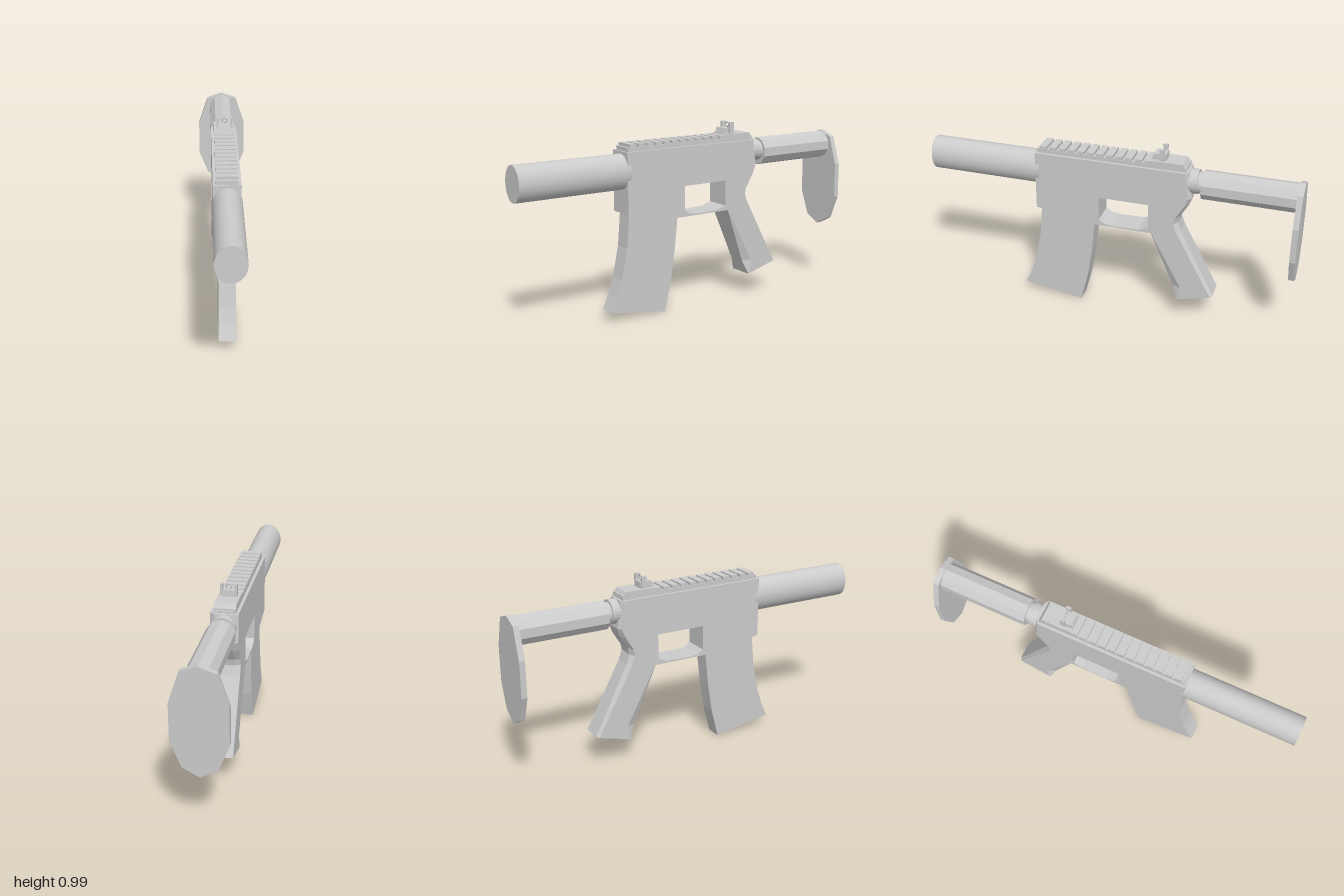
import * as THREE from 'three';

const mat = new THREE.MeshStandardMaterial({ color: 0xcccccc, flatShading: true, side: THREE.DoubleSide });
const smooth = new THREE.MeshStandardMaterial({ color: 0xcccccc });

export function createModel() {
  const group = new THREE.Group();
  const add = (name, geo, material = mat) => {
    const mesh = new THREE.Mesh(geo, material);
    mesh.name = name;
    group.add(mesh);
    return mesh;
  };
  const box = (name, x0, x1, y0, y1, z0, z1) =>
    add(name, new THREE.BoxGeometry(x1 - x0, y1 - y0, z1 - z0)
      .translate((x0 + x1) / 2, (y0 + y1) / 2, (z0 + z1) / 2));
  const vec = ([a, b]) => new THREE.Vector2(a, b);

  // Side profile of [z, y] points, extruded across the width
  const profile = (name, points, width, hole) => {
    const shape = new THREE.Shape(points.map(vec));
    if (hole) shape.holes.push(new THREE.Path(hole.map(vec)));
    const geo = new THREE.ExtrudeGeometry(shape, { depth: width, bevelEnabled: false });
    return add(name, geo.translate(0, 0, -width / 2).rotateY(-Math.PI / 2));
  };
  // Elliptical cylinder lying along z, with a vertex at its top
  const tube = (name, rx, ry, y, z0, z1, sides, material = mat) =>
    add(name, new THREE.CylinderGeometry(1, 1, z1 - z0, sides)
      .rotateX(Math.PI / 2).scale(rx, ry, 1).translate(0.002, y, (z0 + z1) / 2), material);

  // Receiver with the trigger opening
  profile('receiver',
    [[0.4, 0.885], [0.4, 0.565], [0.08, 0.512], [-0.237, 0.512], [-0.237, 0.885]], 0.14,
    [[0.05, 0.677], [0.05, 0.545], [0.02, 0.525], [-0.03, 0.518], [-0.17, 0.523], [-0.22, 0.54], [-0.22, 0.677]]);

  // Rear body and grip, lofted downwards: front z/y, rear z/y, front chamfer, rear chamfer
  const sections = [
    [-0.237, 0.885, -0.425, 0.885, 0, 0.015],
    [-0.237, 0.74, -0.442, 0.74, 0, 0.015],
    [-0.237, 0.68, -0.427, 0.695, 0, 0.02],
    [-0.237, 0.6, -0.383, 0.625, 0, 0.02],
    [-0.237, 0.56, -0.375, 0.59, 0, 0.02],
    [-0.237, 0.512, -0.392, 0.54, 0.002, 0.018],
    [-0.36, 0.2, -0.555, 0.228, 0.045, 0.013],
    [-0.39, 0.125, -0.582, 0.178, 0, 0.012],
  ];
  const W = 0.07;
  const rings = sections.map(([fz, fy, rz, ry, fc, rc]) => {
    const len = rz - fz;
    const at = (x, d) => [x, fy + (ry - fy) * d / len, fz + d];
    const fx = W - fc * 0.5, rx = W - rc * 1.4;
    return [at(fx, 0), at(W, -fc), at(W, len + rc), at(rx, len),
      at(-rx, len), at(-W, len + rc), at(-W, -fc), at(-fx, 0)];
  });
  const pos = [];
  const tri = (...corners) => corners.forEach(c => pos.push(...c));
  for (let i = 0; i < rings.length - 1; i++) {
    for (let j = 0; j < 8; j++) {
      const k = (j + 1) % 8;
      const a = rings[i][j], b = rings[i][k], c = rings[i + 1][k], d = rings[i + 1][j];
      tri(a, b, c);
      tri(a, c, d);
    }
  }
  const top = rings[0], bottom = rings[rings.length - 1];
  for (let j = 1; j < 7; j++) {
    tri(top[0], top[j + 1], top[j]);
    tri(bottom[0], bottom[j], bottom[j + 1]);
  }
  const gripGeo = new THREE.BufferGeometry();
  gripGeo.setAttribute('position', new THREE.Float32BufferAttribute(pos, 3));
  gripGeo.computeVertexNormals();
  add('grip', gripGeo);

  // Curved magazine
  profile('magazine', [[0.38, 0.6], [0.38, 0.565], [0.395, 0.385], [0.43, 0.22], [0.46, 0.13], [0.493, 0.055],
    [0.165, 0.004], [0.125, 0.16], [0.1, 0.32], [0.08, 0.51], [0.08, 0.53]], 0.09);

  // Barrel sleeve
  tube('barrel', 0.075, 0.0925, 0.78, 0.38, 1, 32, smooth);

  // Top rail with cross ribs
  box('railBase', -0.055, 0.055, 0.88, 0.906, -0.41, 0.39);
  for (let i = 0; i < 12; i++) {
    const z = 0.375 - i * 0.0515;
    box('railRib', -0.055, 0.055, 0.9, 0.922, z - 0.037, z);
  }

  // Rear sight: mount, block, wings and aperture
  profile('sightMount', [[-0.225, 0.9], [-0.225, 0.925], [-0.39, 0.925], [-0.412, 0.895]], 0.11);
  profile('sightBlock', [[-0.222, 0.92], [-0.235, 0.957], [-0.297, 0.957], [-0.3, 0.92]], 0.066);
  for (const s of [-1, 1]) {
    const x = 0.003 + s * 0.036;
    box('sightWing', x - 0.007, x + 0.007, 0.925, 0.987, -0.292, -0.266);
  }
  add('sightRing', new THREE.TorusGeometry(0.013, 0.004, 6, 16).translate(0.003, 0.973, -0.279));

  // Stock: collar, neck, ten-sided tube and butt plate
  tube('stockCollar', 0.064, 0.064, 0.82, -0.468, -0.42, 24);
  tube('stockNeck', 0.056, 0.056, 0.815, -0.5, -0.46, 24);
  tube('stockTube', 0.075, 0.077, 0.808, -0.975, -0.49, 10);
  const half = [[0.085, 0.86], [0.138, 0.7], [0.138, 0.51], [0.085, 0.375]];
  const outline = [[0, 0.89], ...half, [0, 0.33], ...half.map(([x, y]) => [-x, y]).reverse()];
  add('buttPlate', new THREE.ExtrudeGeometry(new THREE.Shape(outline.map(vec)),
    { depth: 0.03, bevelEnabled: false }).translate(0, 0, -1));

  return group;
}
